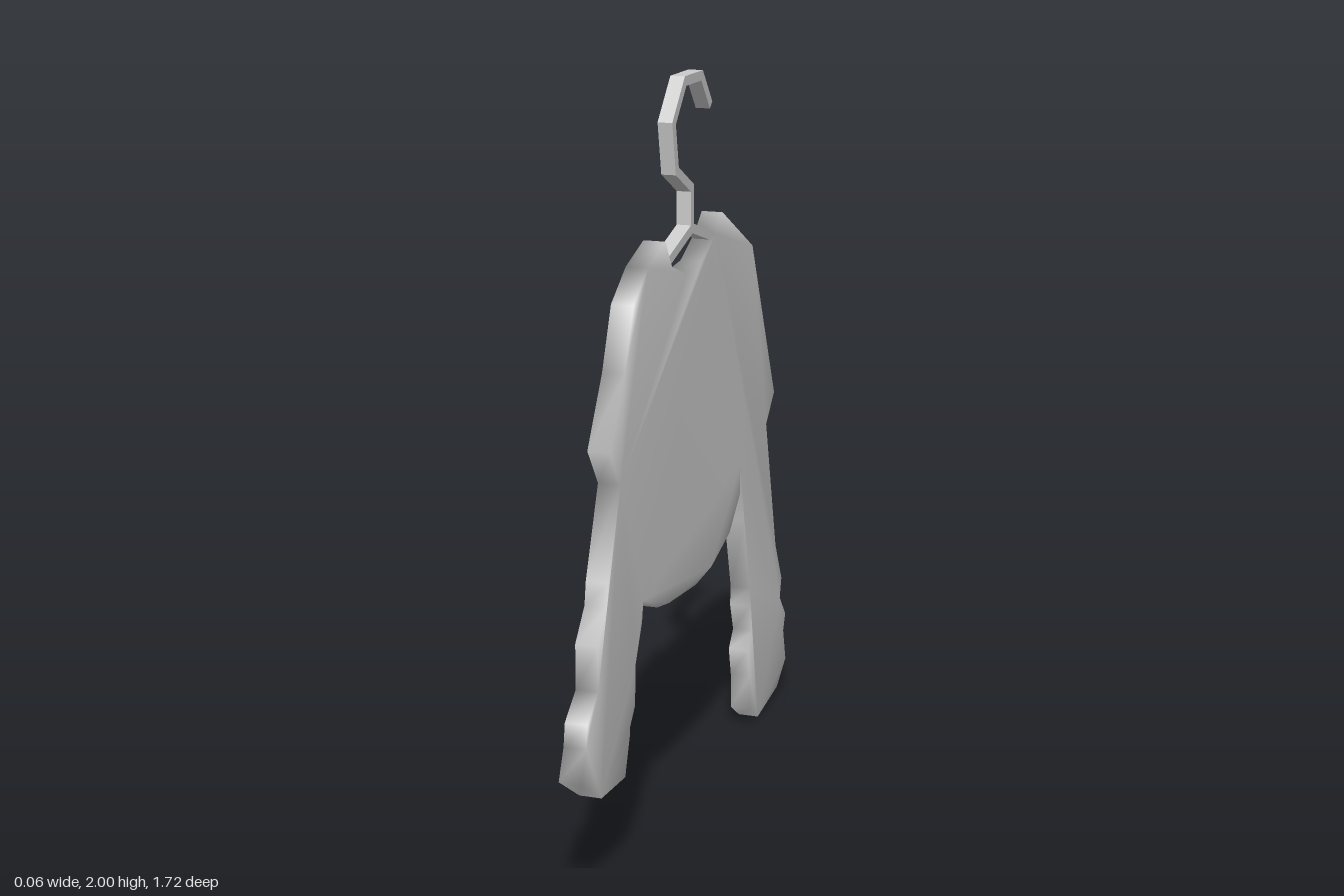
import * as THREE from 'three';
import { mergeVertices } from 'three/addons/utils/BufferGeometryUtils.js';

const material = new THREE.MeshStandardMaterial({ color: 0xcccccc });

// Extrude an outline (horizontal, height) and turn it so horizontal runs along -z
function slab(points, thickness) {
  const shape = new THREE.Shape(points.map(([s, y]) => new THREE.Vector2(s, y)));
  const geometry = new THREE.ExtrudeGeometry(shape, { depth: thickness, bevelEnabled: false });
  return geometry.translate(0, 0, -thickness / 2).rotateY(Math.PI / 2);
}

// Square bar following a polyline with mitred corners
function bar(path, width, thickness) {
  const pts = path.map(([s, y]) => new THREE.Vector2(s, y));
  const left = [], right = [];
  pts.forEach((p, i) => {
    const a = p.clone().sub(pts[i - 1] ?? p).normalize();
    const b = (pts[i + 1] ?? p).clone().sub(p).normalize();
    const dir = a.clone().add(b).normalize();
    const mitre = width / 2 / dir.dot(i ? a : b);
    left.push([p.x - dir.y * mitre, p.y + dir.x * mitre]);
    right.unshift([p.x + dir.y * mitre, p.y - dir.x * mitre]);
  });
  return slab([...left, ...right], thickness);
}

function addMesh(parent, name, geometry) {
  const mesh = new THREE.Mesh(geometry, material);
  mesh.name = name;
  parent.add(mesh);
}

export function createModel() {
  const model = new THREE.Group();
  model.name = 'shirtOnHanger';

  // Garment outline, section by section
  const frontShoulder = [[-0.24, 1.6], [-0.37, 1.555], [-0.475, 1.48], [-0.54, 1.32],
    [-0.645, 1.145], [-0.575, 1.045], [-0.665, 0.815], [-0.675, 0.755]];
  const frontSleeve = [[-0.74, 0.675], [-0.74, 0.555], [-0.815, 0.495], [-0.825, 0.435],
    [-0.86, 0.355], [-0.725, 0.265], [-0.555, 0.255], [-0.52, 0.355], [-0.517, 0.38],
    [-0.48, 0.425], [-0.475, 0.535], [-0.425, 0.635], [-0.415, 0.69]];
  const hem = [[-0.31, 0.637], [-0.22, 0.62], [0, 0.602], [0.135, 0.613],
    [0.295, 0.665], [0.39, 0.755], [0.39, 0.84]];
  const backSleeve = [[0.43, 0.66], [0.49, 0.435], [0.485, 0.38], [0.515, 0.295],
    [0.475, 0.245], [0.495, 0.16], [0.497, 0.053], [0.575, 0], [0.77, 0.027],
    [0.857, 0.09], [0.83, 0.19], [0.85, 0.24], [0.79, 0.31], [0.805, 0.37],
    [0.74, 0.495], [0.635, 0.9], [0.71, 0.98]];
  const backShoulder = [[0.49, 1.46], [0.22, 1.6]];
  const neckline = [[0.16, 1.55], [0.045, 1.495], [-0.075, 1.485], [-0.19, 1.525]];

  // Shared corners give the cloth its soft shading
  const cloth = slab([...frontShoulder, ...frontSleeve, ...hem, ...backSleeve,
    ...backShoulder, ...neckline], 0.06);
  cloth.deleteAttribute('normal');
  cloth.deleteAttribute('uv');
  const softCloth = mergeVertices(cloth, 1e-4);
  softCloth.computeVertexNormals();
  addMesh(model, 'shirt', softCloth);

  // Hanger: hook with neck, and the two sloping arms
  const hanger = new THREE.Group();
  hanger.name = 'hanger';
  addMesh(hanger, 'hook', bar([[0.15, 1.9], [0.076, 1.987], [-0.055, 1.987], [-0.145, 1.888],
    [-0.12, 1.762], [0, 1.7], [0, 1.59]], 0.026, 0.04));
  addMesh(hanger, 'arms', bar([[-0.24, 1.52], [0, 1.593], [0.21, 1.53]], 0.026, 0.04));
  model.add(hanger);

  return model;
}
